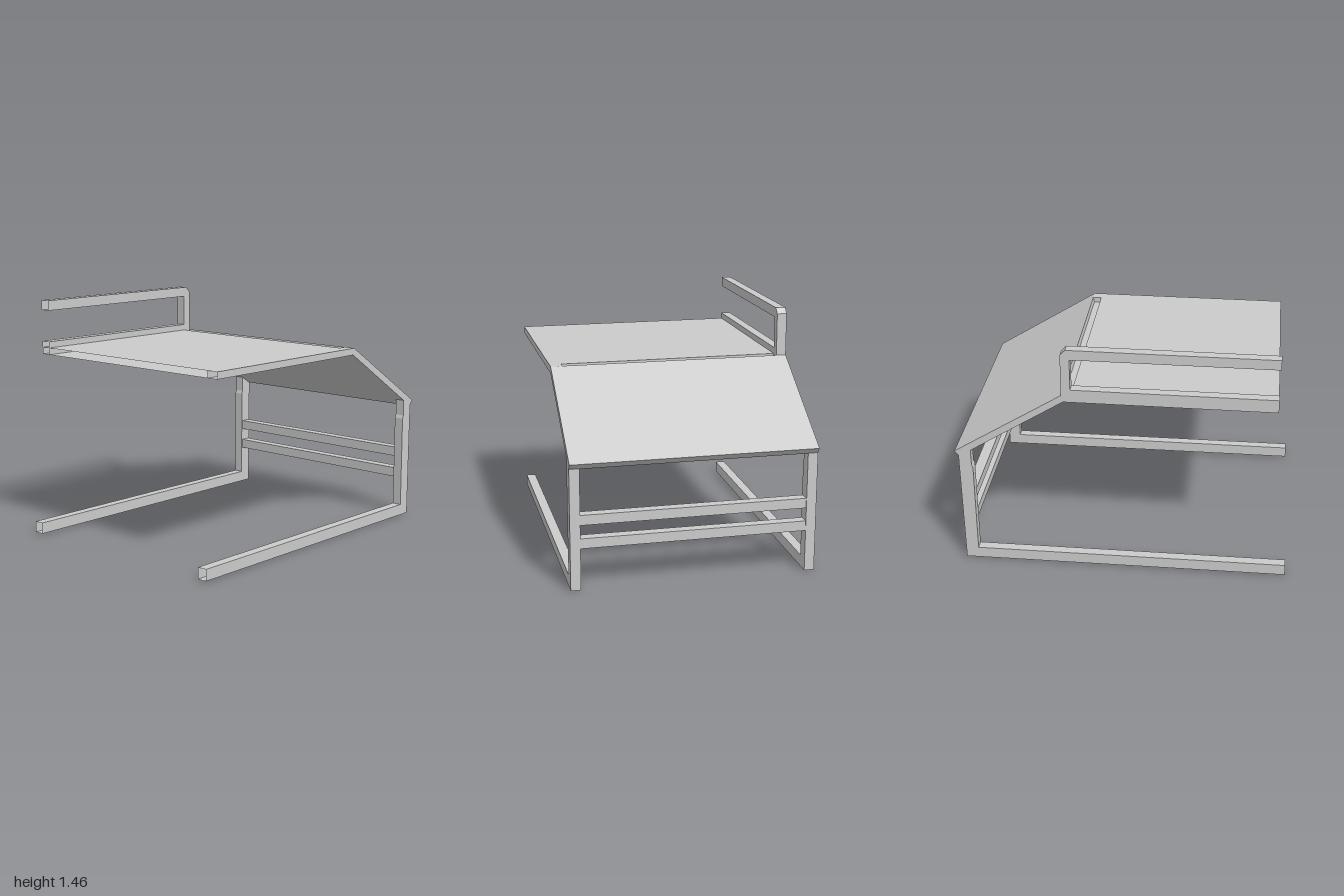
import * as THREE from 'three';

const material = new THREE.MeshStandardMaterial({ color: 0xcccccc, side: THREE.DoubleSide });

// Extrudes an x/y profile from z0 to z1; with openX set, the end wall on that x plane is left open.
function extrude(name, points, z0, z1, openX = null) {
  const shape = new THREE.Shape(points.map(([x, y]) => new THREE.Vector2(x, y)));
  const solid = new THREE.ExtrudeGeometry(shape, { depth: z1 - z0, bevelEnabled: false });
  solid.translate(0, 0, z0);
  const p = solid.attributes.position.array;
  const kept = [];
  for (let i = 0; i < p.length; i += 9) {
    const onEnd = openX !== null && [0, 3, 6].every((k) => Math.abs(p[i + k] - openX) < 1e-4);
    if (!onEnd) kept.push(...p.slice(i, i + 9));
  }
  const geometry = new THREE.BufferGeometry();
  geometry.setAttribute('position', new THREE.Float32BufferAttribute(kept, 3));
  geometry.computeVertexNormals();
  const mesh = new THREE.Mesh(geometry, material);
  mesh.name = name;
  return mesh;
}

export function createModel() {
  const model = new THREE.Group();
  model.name = 'bedsideTable';
  const outer = 0.73, inner = 0.67, slotFront = 0.66, end = -0.905;

  // Flat top with its sloping panel; the middle part carries the shallow slot
  const top = new THREE.Group();
  top.name = 'tableTop';
  const under = [[end, 1.13], [0.335, 1.13], [0.9, 0.77], [0.97, 0.725], [0.998, 0.76], [0.345, 1.172]];
  const plain = [...under, [end, 1.172]];
  const slotted = [...under, [0.344, 1.14], [0.292, 1.14], [0.292, 1.172], [end, 1.172]];
  // keep the slot wall just inside the bend
  slotted[6] = [0.338, 1.14];
  top.add(
    extrude('topBackEdge', plain, -outer, -inner, end),
    extrude('topPanel', slotted, -inner, slotFront, end),
    extrude('topFrontEdge', plain, slotFront, outer, end),
  );
  model.add(top);

  // L-shaped side frames: upright leg and long floor runner
  const frame = [
    [-1, 0.008], [0.968, 0], [0.975, 0.728], [0.9, 0.77],
    [0.9, 0.67], [0.892, 0.65], [0.892, 0.07], [-1, 0.077],
  ];
  model.add(
    extrude('frontSideFrame', frame, inner, outer, -1),
    extrude('backSideFrame', frame, -outer, -inner, -1),
  );

  // Cross bars between the legs
  for (const [name, y] of [['lowerCrossBar', 0.28], ['upperCrossBar', 0.42]]) {
    const bar = new THREE.Mesh(new THREE.BoxGeometry(0.065, 0.06, inner * 2), material);
    bar.position.set(0.933, y, 0);
    bar.name = name;
    model.add(bar);
  }

  // Guard rail at the back: low bar, post and upper bar in one bent tube
  const rail = [
    [end, 1.172], [0.346, 1.172], [0.346, 1.43], [0.315, 1.463], [end, 1.463],
    [end, 1.402], [0.292, 1.402], [0.292, 1.21], [end, 1.21],
  ];
  model.add(extrude('guardRail', rail, -outer, -inner, end));

  return model;
}
